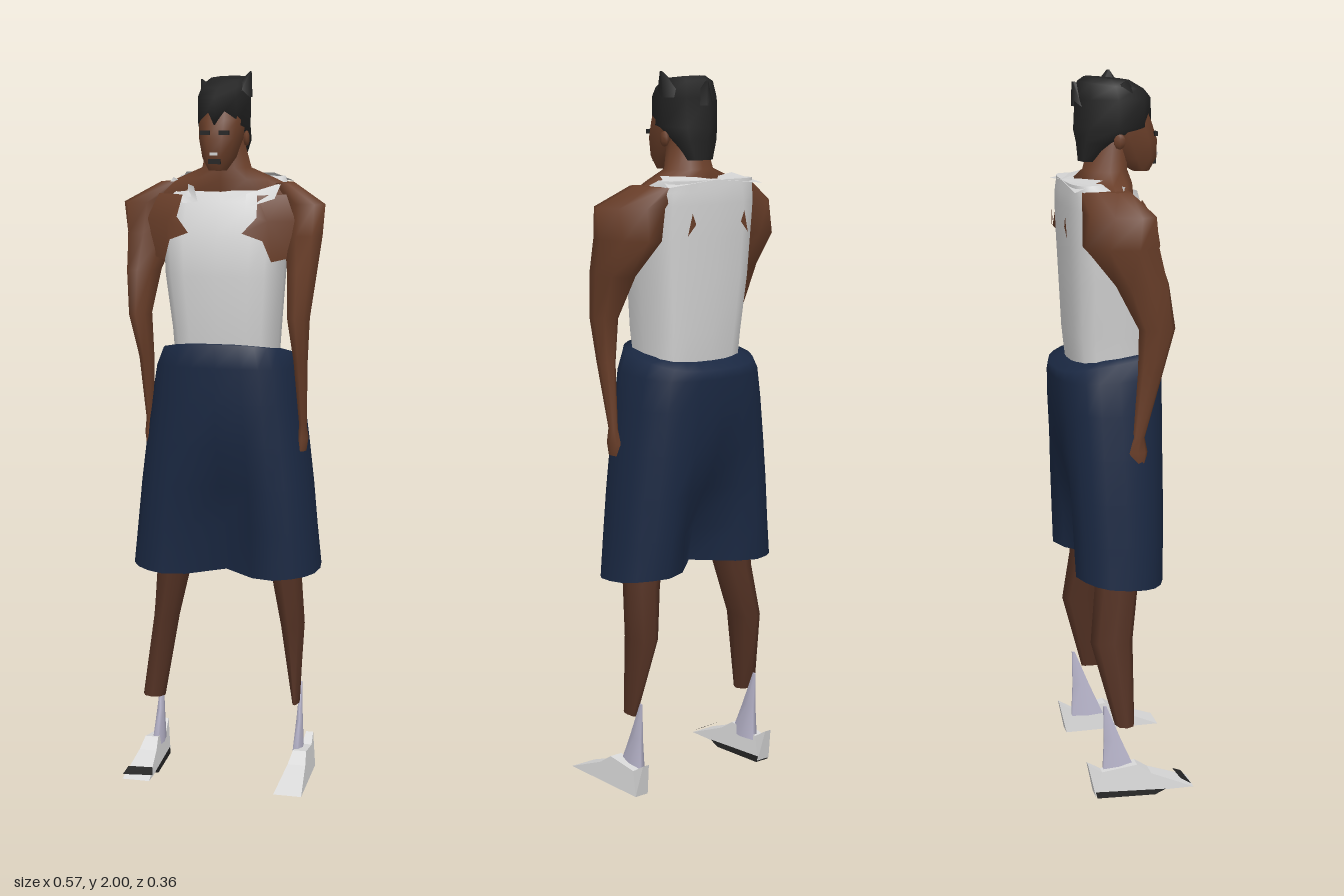
import * as THREE from 'three';

const mat = (name, color) => {
  const m = new THREE.MeshStandardMaterial({ color, side: THREE.DoubleSide });
  m.name = name;
  return m;
};

// Skin through oval rings, listed bottom to top: [y, cx, cz, rx, rz, front tilt]
function loft(rings, { n = 12, power = 1, caps = true } = {}) {
  const pos = [], idx = [];
  const bend = v => Math.sign(v) * Math.abs(v) ** power;
  const addRing = ([y, cx, cz, rx, rz, tilt = 0]) => {
    const start = pos.length / 3;
    for (let j = 0; j < n; j++) {
      const a = (j / n) * Math.PI * 2;
      pos.push(cx + rx * bend(Math.cos(a)), y + tilt * Math.sin(a), cz + rz * bend(Math.sin(a)));
    }
    return start;
  };
  const starts = rings.map(addRing);
  for (let i = 0; i + 1 < starts.length; i++) {
    for (let j = 0; j < n; j++) {
      const k = (j + 1) % n, a = starts[i], b = starts[i + 1];
      idx.push(a + j, b + j, a + k, a + k, b + j, b + k);
    }
  }
  if (caps) {
    for (const [ring, top] of [[rings[0], false], [rings[rings.length - 1], true]]) {
      const s = addRing(ring);
      for (let j = 1; j + 1 < n; j++) idx.push(s, s + (top ? j + 1 : j), s + (top ? j : j + 1));
    }
  }
  const g = new THREE.BufferGeometry();
  g.setAttribute('position', new THREE.Float32BufferAttribute(pos, 3));
  g.setIndex(idx);
  g.computeVertexNormals();
  return g;
}

// Move the z of every vertex by a rule
function reshape(g, rule) {
  const p = g.attributes.position;
  for (let i = 0; i < p.count; i++) p.setZ(i, rule(p.getX(i), p.getY(i), p.getZ(i)));
  g.computeVertexNormals();
  return g;
}

// Thin panel from a fan of corners, given anticlockwise as seen from outside
function panel(points) {
  const g = new THREE.BufferGeometry(), idx = [];
  g.setAttribute('position', new THREE.Float32BufferAttribute(points.flat(), 3));
  for (let i = 1; i + 1 < points.length; i++) idx.push(0, i, i + 1);
  g.setIndex(idx);
  g.computeVertexNormals();
  return g;
}

// The same panel on the other side of the body, with its corner order kept outward
const mirrored = (points, s) => s > 0 ? points
  : [points[0], ...points.slice(1).reverse()].map(([x, y, z]) => [-x, y, z]);

// Side profile (z, y) extruded across x, wide at the toe and narrow at the top and heel
function footWedge(profile, width) {
  const g = new THREE.ExtrudeGeometry(new THREE.Shape(profile.map(p => new THREE.Vector2(...p))),
    { depth: width, bevelEnabled: false });
  g.translate(0, 0, -width / 2).rotateY(-Math.PI / 2);
  const p = g.attributes.position;
  for (let i = 0; i < p.count; i++) {
    const taper = 0.7 + p.getZ(i) * 1.7 - p.getY(i) * 3;
    p.setX(i, p.getX(i) * Math.max(taper, 0.25));
  }
  g.computeVertexNormals();
  return g;
}

export function createModel() {
  const model = new THREE.Group();
  model.name = 'standingFigure';
  const skin = mat('skin brown', 0x693e29);
  const legSkin = mat('leg brown', 0x543224);
  const white = mat('shirt white', 0xd2d2d2);
  const navy = mat('shorts navy', 0x1a2842);
  const black = mat('hair black', 0x232323);
  const lilac = mat('sock lilac', 0xb9b6cc);
  const shoeGrey = mat('shoe grey', 0xd8d8d8);
  const add = (name, geometry, material) => {
    const m = new THREE.Mesh(geometry, material);
    m.name = name;
    model.add(m);
    return m;
  };

  // Tank top
  add('tankTop', loft([
    [1.18, 0.005, -0.02, 0.14, 0.105], [1.3, 0.005, -0.018, 0.147, 0.12],
    [1.45, 0, -0.02, 0.163, 0.125], [1.56, 0, -0.025, 0.17, 0.125],
    [1.65, 0, -0.048, 0.172, 0.104], [1.685, 0, -0.06, 0.168, 0.09], [1.715, 0, -0.1, 0.15, 0.045],
  ], { n: 16, power: 0.62 }), white);

  // Bare shoulders running up into the neck
  add('shoulders', loft([
    [1.6, 0, -0.03, 0.26, 0.045], [1.65, 0, -0.03, 0.265, 0.062],
    [1.71, 0, -0.035, 0.14, 0.078], [1.74, 0, -0.027, 0.07, 0.062],
    [1.82, 0, -0.015, 0.05, 0.055],
  ]), skin);

  for (const s of [-1, 1]) {
    // Shoulder straps
    add('backStrap', panel(mirrored([[0.165, 1.7, -0.145], [0, 1.716, -0.147],
      [0.04, 1.722, -0.105], [0.125, 1.726, -0.06]], s)), white);
    // Bare chest beside the deep armholes
    add('chestSide', panel(mirrored([[0.14, 1.6, 0.08], [0.105, 1.668, 0.052], [0.112, 1.61, 0.088],
      [0.075, 1.568, 0.106], [0.13, 1.548, 0.096], [0.15, 1.49, 0.076], [0.2, 1.5, 0.03],
      [0.21, 1.6, 0.045], [0.18, 1.67, 0.025], [0.105, 1.668, 0.052]], s)), skin);
    // Small tears in the back of the shirt
    add('backTear', panel(mirrored([[0.09, 1.63, -0.156], [0.105, 1.57, -0.154], [0.078, 1.6, -0.156]], s)), skin);
  }
  add('leftChestStrap', panel([[0.078, 1.635, 0.078], [0.155, 1.66, 0.06],
    [0.16, 1.7, 0], [0.075, 1.672, 0.055]]), white);
  add('rightChestStrap', panel([[-0.06, 1.65, 0.06], [-0.075, 1.69, 0.045],
    [-0.15, 1.712, -0.015], [-0.16, 1.698, -0.012], [-0.1, 1.645, 0.066]]), white);

  // Arms bent forward at the elbow, with the shoulders slanting back toward the spine
  const slant = (x, y, z) =>
    z + 0.6 * (Math.abs(x) - 0.22) * THREE.MathUtils.smoothstep(y, 1.34, 1.56);
  for (const s of [-1, 1]) {
    const h = s > 0 ? 0.012 : -0.005;
    add(s > 0 ? 'leftArm' : 'rightArm', reshape(loft([
      [0.965, s * (0.215 + h), 0.015, 0.012, 0.022], [1.0, s * (0.217 + h), 0.012, 0.015, 0.03],
      [1.04, s * (0.217 + h), 0.018, 0.011, 0.016], [1.22, s * (0.216 + h), 0.05, 0.02, 0.035],
      [1.34, s * 0.224, 0.064, 0.032, 0.05], [1.46, s * 0.224, 0.022, 0.045, 0.072],
      [1.56, s * 0.215, -0.03, 0.062, 0.095], [1.645, s * 0.21, -0.03, 0.075, 0.078],
      [1.7, s * 0.145, -0.015, 0.045, 0.062],
    ], { n: 8 }), slant), skin);
  }

  // Shorts: one flared tube, drawn in along the middle to part the two legs
  const part = (x, y, z) => {
    const across = Math.max(0, 1 - Math.abs(x - 0.004) / 0.13);
    const down = THREE.MathUtils.clamp((1 - y) / 0.3, 0, 1);
    return THREE.MathUtils.lerp(z, -0.02, 0.9 * across * down);
  };
  add('shorts', reshape(loft([
    [0.622, 0.004, -0.022, 0.27, 0.138, -0.016], [0.74, 0.004, -0.023, 0.257, 0.142],
    [0.86, 0.004, -0.025, 0.245, 0.145], [0.98, 0.004, -0.027, 0.23, 0.147],
    [1.1, 0.004, -0.029, 0.213, 0.15], [1.19, 0.004, -0.03, 0.198, 0.151, 0.01],
    [1.235, 0.004, -0.03, 0.178, 0.148, 0.03], [1.245, 0.004, -0.02, 0.14, 0.115, 0.02],
  ], { n: 24, power: 0.76, caps: false }), part), navy);

  // Lower legs, one ending in a slim ankle and one cut wide
  add('leftLeg', loft([[0.22, 0.207, -0.022, 0.009, 0.03], [0.45, 0.189, -0.052, 0.035, 0.062],
    [0.6, 0.173, -0.032, 0.045, 0.062], [0.8, 0.14, -0.03, 0.06, 0.065]], { n: 8 }), legSkin);
  add('rightLeg', loft([[0.21, -0.217, -0.022, 0.033, 0.028], [0.45, -0.186, -0.052, 0.038, 0.06],
    [0.6, -0.158, -0.032, 0.05, 0.062], [0.8, -0.135, -0.03, 0.06, 0.065]], { n: 8 }), legSkin);

  // Socks and shoes
  const upper = [[0.18, 0.015], [0.06, 0.062], [0.02, 0.09], [-0.08, 0.075], [-0.12, 0.1], [-0.1, 0.006]];
  for (const [side, x, z] of [['left', 0.227, 0], ['right', -0.217, -0.01]]) {
    const sx = x > 0 ? 0.21 : -0.208;
    add(side + 'Sock', loft([[0.06, sx, -0.035, 0.016, 0.055], [0.16, sx, -0.055, 0.009, 0.028],
      [0.265, sx, -0.077, 0.003, 0.005]], { n: 6 }), lilac);
    add(side + 'Shoe', footWedge(upper, 0.083), shoeGrey).position.set(x, 0, z);
  }
  add('rightSole', footWedge([[0.07, 0], [0.1, 0.014], [-0.1, 0.018], [-0.095, 0]], 0.084), black)
    .position.set(-0.217, 0, -0.01);
  add('rightToePatch', panel([[-0.258, 0.026, 0.163], [-0.172, 0.028, 0.155],
    [-0.18, 0.041, 0.128], [-0.25, 0.041, 0.134]]), black);

  // Head with a jutting chin
  add('face', loft([
    [1.735, 0, 0.072, 0.025, 0.024], [1.77, 0, 0.052, 0.045, 0.064],
    [1.82, 0, 0.032, 0.058, 0.085], [1.87, 0, 0.012, 0.064, 0.088], [1.93, 0, 0, 0.055, 0.075],
  ], { n: 10, power: 0.85 }), skin);
  add('mouth', new THREE.BoxGeometry(0.02, 0.008, 0.006).translate(0, 1.78, 0.116), white);
  add('chinBeard', new THREE.BoxGeometry(0.034, 0.014, 0.008).translate(0, 1.76, 0.108), black);
  for (const s of [-1, 1]) {
    add('ear', new THREE.SphereGeometry(0.018, 6, 5).scale(0.5, 1.2, 1).translate(s * 0.062, 1.82, 0), skin);
    add('eye', new THREE.BoxGeometry(0.028, 0.012, 0.008).translate(s * 0.026, 1.836, 0.107), black);
  }

  // Hair: a cap low at the nape and over the brow, with uneven corners on the crown
  add('hair', loft([
    [1.765, 0, -0.075, 0.042, 0.026], [1.815, 0, -0.05, 0.064, 0.056],
    [1.853, -0.002, -0.006, 0.074, 0.108, 0.004], [1.93, -0.002, -0.005, 0.075, 0.105],
    [1.965, 0.002, -0.01, 0.066, 0.092, -0.012], [1.983, 0.008, -0.02, 0.05, 0.062, -0.006],
  ], { n: 8 }), black);
  for (const [x, y, z, tx, ty, tz] of [[0.04, 1.93, -0.01, 0.074, 2, 0], [-0.025, 1.93, 0.01, -0.058, 1.978, 0.02],
    [0, 1.91, -0.06, 0.005, 1.975, -0.112]]) {
    add('hairCorner', loft([[y, x, z, 0.036, 0.06], [ty, tx, tz, 0.002, 0.004]], { n: 5 }), black);
  }
  return model;
}
